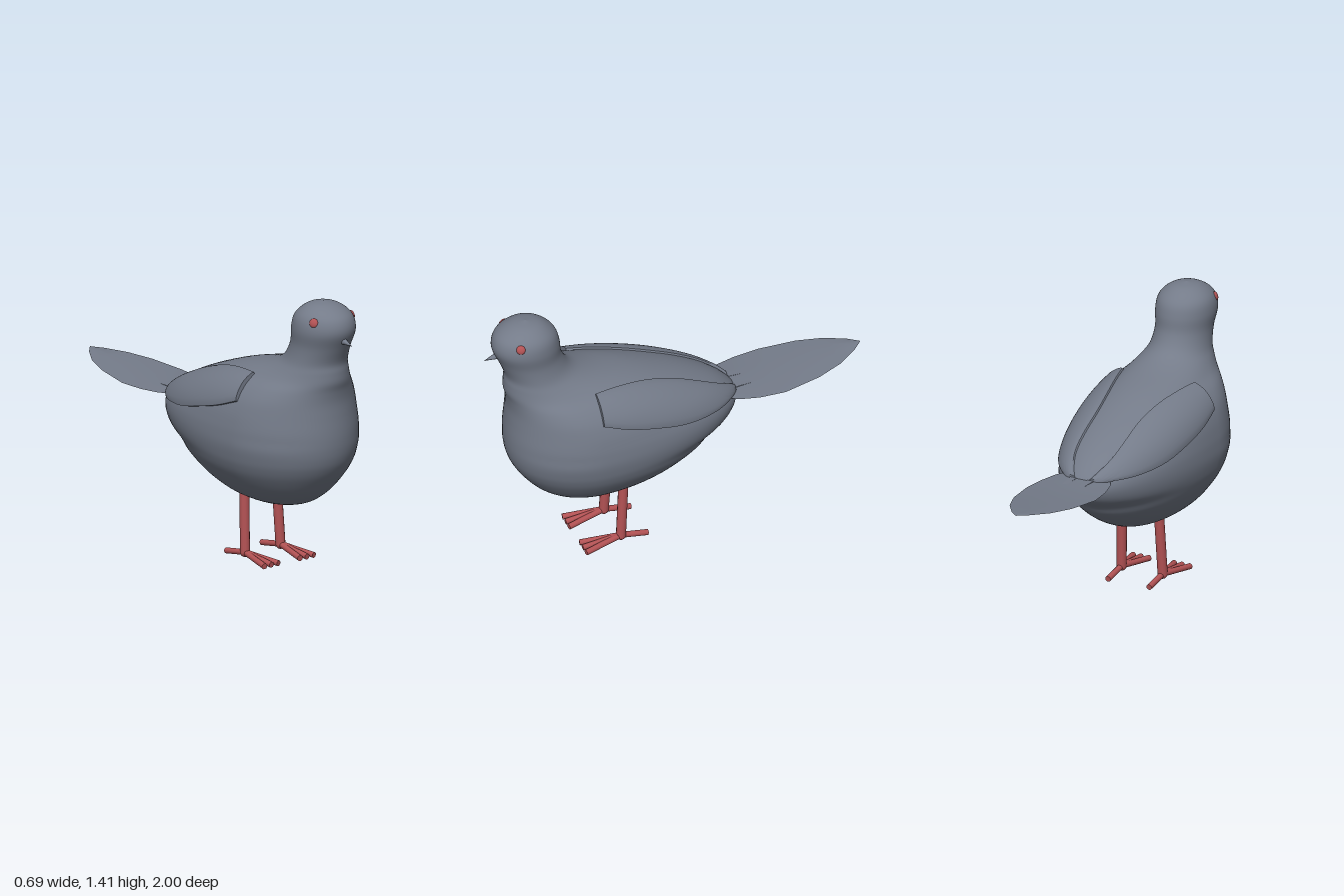
import * as THREE from 'three';
import { toCreasedNormals } from 'three/addons/utils/BufferGeometryUtils.js';

const plumage = new THREE.MeshStandardMaterial({ name: 'greyPlumage', color: 0x747b89 });
const red = new THREE.MeshStandardMaterial({ name: 'redSkin', color: 0xb25254 });

// Body levels: y, back z, front z, z of the widest point, half width
const LEVELS = [
  [0.31, 0.40, 0.40, 0.40, 0], [0.315, 0.27, 0.53, 0.41, 0.07], [0.33, 0.17, 0.61, 0.42, 0.12],
  [0.36, 0.07, 0.68, 0.43, 0.175], [0.42, -0.05, 0.755, 0.44, 0.24], [0.5, -0.16, 0.82, 0.45, 0.297],
  [0.56, -0.21, 0.855, 0.46, 0.325], [0.61, -0.285, 0.872, 0.47, 0.338], [0.66, -0.322, 0.88, 0.48, 0.345],
  [0.71, -0.33, 0.882, 0.48, 0.344], [0.76, -0.30, 0.88, 0.49, 0.339], [0.83, -0.21, 0.874, 0.50, 0.325],
  [0.9, -0.07, 0.87, 0.53, 0.30], [0.96, 0.085, 0.876, 0.57, 0.26], [1.01, 0.24, 0.888, 0.63, 0.208],
  [1.06, 0.44, 0.888, 0.69, 0.172], [1.11, 0.545, 0.887, 0.73, 0.15], [1.19, 0.595, 0.918, 0.76, 0.141],
  [1.27, 0.607, 0.952, 0.78, 0.15], [1.33, 0.625, 0.945, 0.78, 0.142], [1.37, 0.66, 0.91, 0.78, 0.115],
  [1.4, 0.71, 0.85, 0.78, 0.066], [1.413, 0.78, 0.78, 0.78, 0],
];
const ends = new THREE.CatmullRomCurve3(LEVELS.map(([y, b, f]) => new THREE.Vector3(b, y, f)), false, 'catmullrom');
const sides = new THREE.CatmullRomCurve3(LEVELS.map(([y, , , c, w]) => new THREE.Vector3(c, y, w)), false, 'catmullrom');
const ROWS = 110;
const rows = Array.from({ length: ROWS + 1 }, (_, i) => {
  const e = ends.getPoint(i / ROWS), s = sides.getPoint(i / ROWS);
  return { y: e.y, back: e.x, front: e.z, mid: s.x, w: Math.max(s.z, 0) };
});

// Skin closed rings of [x, y, z] points
function loft(rings) {
  const n = rings[0].length, index = [];
  for (let i = 0; i < rings.length - 1; i++) {
    for (let j = 0; j < n; j++) {
      const a = i * n + j, b = i * n + (j + 1) % n;
      index.push(a, b, b + n, a, b + n, a + n);
    }
  }
  const g = new THREE.BufferGeometry();
  g.setAttribute('position', new THREE.Float32BufferAttribute(rings.flat(2), 3));
  g.setIndex(index);
  g.computeVertexNormals();
  return g;
}

function add(parent, name, geometry, material) {
  const m = new THREE.Mesh(geometry, material);
  m.name = name;
  parent.add(m);
  return m;
}

function bodyGeometry() {
  const N = 64;
  return loft(rows.map((r) => Array.from({ length: N }, (_, j) => {
    const a = j / N * Math.PI * 2, c = Math.cos(a);
    return [r.w * Math.sin(a), r.y, r.mid + c * (c > 0 ? r.front - r.mid : r.mid - r.back)];
  })));
}

// Is a point inside the body?
function inside(x, y, z) {
  const i = rows.findIndex((r) => r.y >= y);
  if (i < 1) return false;
  const p = rows[i - 1], q = rows[i], t = (y - p.y) / (q.y - p.y);
  const at = (k) => p[k] + (q[k] - p[k]) * t;
  const mid = at('mid'), r = z > mid ? at('front') - mid : mid - at('back');
  return ((z - mid) / r) ** 2 + (x / at('w')) ** 2 < 1;
}

// Point over the body surface, at an angle from straight up about the wing axis
const AXIS_Y = 0.7;
function overBody(angle, z, offset) {
  const s = Math.sin(angle), c = Math.cos(angle);
  let lo = 0, hi = 0.6;
  for (let k = 0; k < 22; k++) {
    const r = (lo + hi) / 2;
    if (inside(r * s, AXIS_Y + r * c, z)) lo = r; else hi = r;
  }
  return [(lo + offset) * s, AXIS_Y + (lo + offset) * c, z];
}

// Folded wing: z, inner edge angle, outer edge angle
function wingGeometry() {
  const keys = [[0.485, 0.566, 1.03], [0.35, 0.51, 1.16], [0.2, 0.463, 1.26], [0.05, 0.47, 1.35],
    [-0.08, 0.56, 1.38], [-0.2, 0.68, 1.36], [-0.31, 0.75, 1.25]];
  const curve = new THREE.CatmullRomCurve3(keys.map((k) => new THREE.Vector3(...k)), false, 'catmullrom');
  const N = 36, M = 14;
  const section = (t, sunk) => {
    const k = curve.getPoint(t);
    const pts = Array.from({ length: M + 1 }, (_, j) => {
      const s = j / M;
      const off = sunk ? -0.015 : 0.01 + 0.014 * Math.sqrt(Math.sin(Math.PI * s) + 1e-9);
      return overBody(k.y + (k.z - k.y) * s, k.x, off);
    });
    return [overBody(k.y, k.x, -0.015), ...pts, overBody(k.z, k.x, -0.015)];
  };
  const rings = Array.from({ length: N + 1 }, (_, i) => section(i / N, false));
  return toCreasedNormals(loft([section(0, true), ...rings, section(1, true)]), 0.7);
}

// Thin leaf-shaped tail: z, half width, y, half thickness
function tailGeometry() {
  const keys = [[-0.2, 0.1, 0.735, 0.009], [-0.3, 0.155, 0.733, 0.009], [-0.4, 0.18, 0.734, 0.008],
    [-0.53, 0.191, 0.739, 0.006], [-0.72, 0.162, 0.758, 0.005], [-0.85, 0.115, 0.772, 0.004],
    [-0.95, 0.05, 0.784, 0.003], [-1, 0.002, 0.79, 0.001]];
  return toCreasedNormals(loft(keys.map(([z, w, y, t]) => [
    [-w, y, z], [-w / 2, y + t * 0.7, z], [0, y + t, z], [w / 2, y + t * 0.7, z],
    [w, y, z], [w / 2, y - t * 0.7, z], [0, y - t, z], [-w / 2, y - t * 0.7, z],
  ])), 0.8);
}

// Round rod between two points
function rod(parent, name, from, to, r0, r1) {
  const a = new THREE.Vector3(...from), b = new THREE.Vector3(...to), d = b.clone().sub(a);
  const m = add(parent, name, new THREE.CylinderGeometry(r1, r0, d.length(), 12), red);
  m.position.copy(a).add(b).multiplyScalar(0.5);
  m.quaternion.setFromUnitVectors(new THREE.Vector3(0, 1, 0), d.normalize());
}

export function createModel() {
  const bird = new THREE.Group();
  bird.name = 'bird';
  add(bird, 'body', bodyGeometry(), plumage);
  add(bird, 'tail', tailGeometry(), plumage);

  const beak = add(bird, 'beak', new THREE.ConeGeometry(0.022, 0.09, 16), plumage);
  beak.rotation.x = Math.PI / 2 + 0.2;
  beak.position.set(0, 1.23, 0.956);

  const wing = wingGeometry();
  // Wing tip lying over the tail, drawn in x and -z
  const tip = new THREE.ExtrudeGeometry(new THREE.Shape([
    [0.03, 0.26], [0.075, 0.26], [0.062, 0.34], [0.055, 0.42], [0.03, 0.54],
  ].map((p) => new THREE.Vector2(...p))), { depth: 0.018, bevelEnabled: false });
  tip.rotateX(-Math.PI / 2);

  for (const side of [1, -1]) {
    const label = side > 0 ? 'left' : 'right';
    const half = new THREE.Group();
    half.name = label + 'Side';
    half.scale.x = side;
    bird.add(half);

    add(half, label + 'Wing', wing, plumage);
    const tipMesh = add(half, label + 'WingTip', tip, plumage);
    tipMesh.position.y = 0.731;
    tipMesh.rotation.x = -0.02;

    const eye = add(half, label + 'Eye', new THREE.SphereGeometry(0.023, 20, 14), red);
    eye.scale.x = 0.55;
    eye.position.set(0.123, 1.332, 0.852);
    eye.rotation.set(0, -0.45, 0.35);

    // Leg, three front toes and one back toe
    const ankle = [0.115, 0.04, 0.317];
    rod(half, label + 'Leg', ankle, [0.103, 0.4, 0.297], 0.025, 0.025);
    for (const dx of [-0.045, 0, 0.045]) {
      rod(half, label + 'FrontToe', ankle, [ankle[0] + dx, 0.018, 0.52], 0.015, 0.015);
    }
    rod(half, label + 'BackToe', ankle, [0.115, 0.018, 0.175], 0.015, 0.015);
    const joint = add(half, label + 'Ankle', new THREE.SphereGeometry(0.025, 14, 10), red);
    joint.position.set(...ankle);
  }
  return bird;
}
